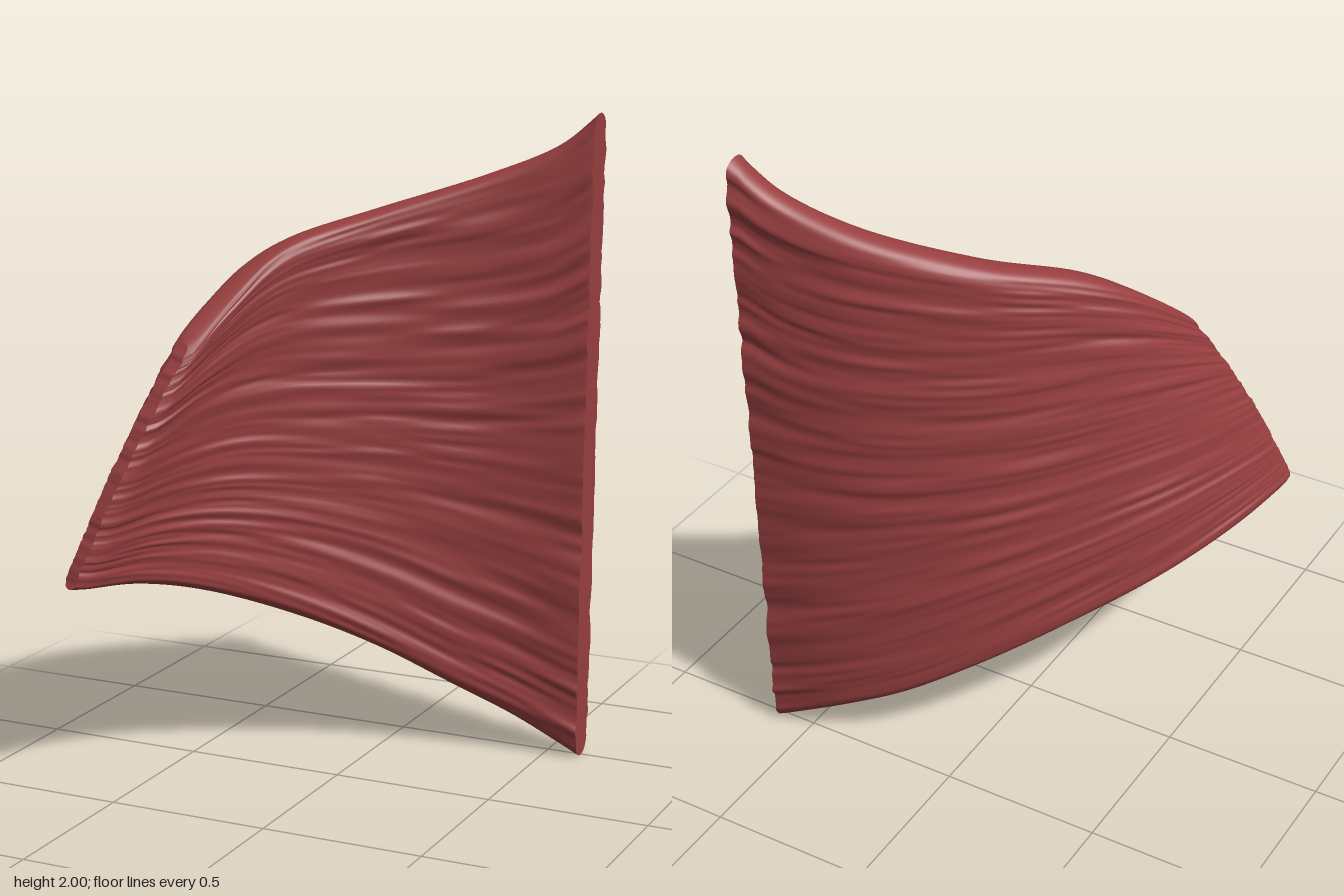
import * as THREE from 'three';

const ROWS = 240; // samples across the fibres, per side
const COLS = 56;  // samples along the fibres

// Smooth seeded noise on a 2D lattice, 0..1
const hash = (i, j, seed) => {
  const s = Math.sin(i * 127.1 + j * 311.7 + seed * 74.7) * 43758.5453;
  return s - Math.floor(s);
};
function noise(x, y, seed) {
  const i = Math.floor(x), j = Math.floor(y);
  const ease = (t) => t * t * (3 - 2 * t);
  const fx = ease(x - i), fy = ease(y - j);
  const a = THREE.MathUtils.lerp(hash(i, j, seed), hash(i + 1, j, seed), fx);
  const b = THREE.MathUtils.lerp(hash(i, j + 1, seed), hash(i + 1, j + 1, seed), fx);
  return THREE.MathUtils.lerp(a, b, fy);
}

const curve = (pts) => new THREE.CatmullRomCurve3(pts.map((p) => new THREE.Vector3(...p)));

// Upper and lower borders, from the flat cut end to the narrow free end
const upper = curve([
  [0.61, 2, -0.55], [0.5, 1.905, -0.52], [0.3, 1.815, -0.455], [0, 1.71, -0.28],
  [-0.19, 1.635, -0.09], [-0.26, 1.575, 0.01], [-0.315, 1.48, 0.13], [-0.365, 1.36, 0.265],
]);
const lower = curve([
  [0.61, 0, -0.495], [0.4, 0.11, -0.47], [0.2, 0.21, -0.41], [0, 0.33, -0.305],
  [-0.2, 0.45, -0.14], [-0.4, 0.565, 0.09], [-0.52, 0.635, 0.33], [-0.585, 0.67, 0.585],
]);

// Curved slab swept between the borders, ridged along the fibres
function fibreSheet() {
  const ring = ROWS * 2, pos = [], index = [];
  for (let i = 0; i <= COLS; i++) {
    const u = i / COLS;
    const a = lower.getPointAt(u), b = upper.getPointAt(u);
    const across = b.clone().sub(a);
    const ta = lower.getTangentAt(u), tb = upper.getTangentAt(u);
    // thicker in the middle, thinning to a rounded free end
    const belly = Math.sin(Math.PI * u);
    const half = (0.052 + 0.008 * belly - 0.012 * u ** 3) * Math.sqrt(1 - 0.7 * u ** 70);
    for (let k = 0; k < ring; k++) {
      const outer = k < ROWS;
      const row = outer ? k : ring - 1 - k;
      const v = 0.5 - 0.5 * Math.cos(Math.PI * (row + 0.5) / ROWS);
      const n = ta.clone().lerp(tb, v).cross(across).normalize();
      if (i === 0) n.setX(0).normalize();
      // rounded borders and fine ridges that drift slowly along their length
      const round = Math.sqrt(1 - Math.abs(2 * v - 1) ** 40);
      const drift = v + 0.012 * Math.sin(u * 5 + v * 9);
      const seed = outer ? 1 : 2;
      const ridge = (1 - 0.5 * u) * (0.013 * (noise(drift * 42, u * 4, seed) - 0.5)
        + 0.007 * (noise(drift * 85, u * 7, seed + 5) - 0.5));
      const h = (half + ridge) * round * (outer ? 1 : -1);
      const mid = 4 * v * (1 - v);
      // the sheet bows outward slightly and its free end bows forward
      const p = a.clone().addScaledVector(across, v)
        .addScaledVector(n, h + 0.008 * mid * belly)
        .addScaledVector(ta, u ** 6 * (0.028 * mid + 0.006 * (noise(v * 40, 0, 9) - 0.5)));
      pos.push(p.x, p.y, p.z);
    }
  }
  for (let i = 0; i < COLS; i++) {
    for (let k = 0; k < ring; k++) {
      const k1 = (k + 1) % ring;
      const p = i * ring + k, q = p + ring, r = (i + 1) * ring + k1, s = i * ring + k1;
      index.push(p, q, r, p, r, s);
    }
  }
  // end caps with their own vertices, so their rims stay sharp
  for (const end of [0, COLS]) {
    const base = pos.length / 3;
    pos.push(...pos.slice(end * ring * 3, (end + 1) * ring * 3));
    for (let k = 0; k < ROWS - 1; k++) {
      const p = base + k, q = p + 1, r = base + ring - 2 - k, s = r + 1;
      if (end === 0) index.push(p, q, r, p, r, s);
      else index.push(p, r, q, p, s, r);
    }
  }
  const geometry = new THREE.BufferGeometry();
  geometry.setAttribute('position', new THREE.Float32BufferAttribute(pos, 3));
  geometry.setIndex(index);
  geometry.computeVertexNormals();
  return geometry;
}

export function createModel() {
  const group = new THREE.Group();
  group.name = 'muscle';
  const sheet = new THREE.Mesh(fibreSheet(), new THREE.MeshStandardMaterial({ color: 0x983f40 }));
  sheet.name = 'fibreSheet';
  group.add(sheet);
  return group;
}
